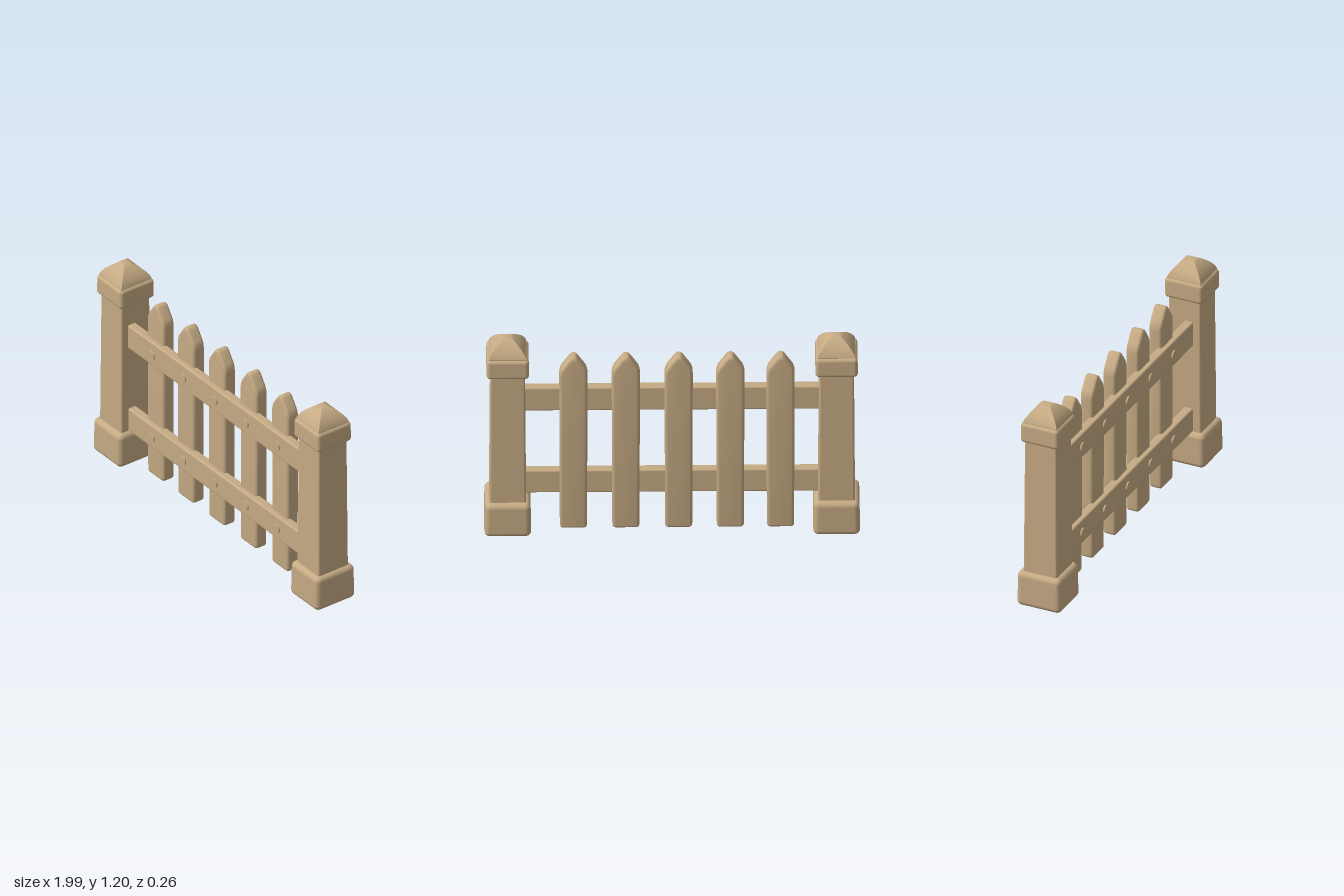
import * as THREE from 'three';
import { toCreasedNormals } from 'three/addons/utils/BufferGeometryUtils.js';
import { RoundedBoxGeometry } from 'three/addons/geometries/RoundedBoxGeometry.js';

const wood = new THREE.MeshStandardMaterial({ color: 0xc6ab84 });
wood.name = 'tan wood';

function part(name, geometry, x = 0, y = 0, z = 0) {
  const mesh = new THREE.Mesh(geometry, wood);
  mesh.name = name;
  mesh.position.set(x, y, z);
  return mesh;
}

// Rounded box standing on its base, its top scaled by taper
function block(w, h, d, r, taper = 1) {
  const g = new RoundedBoxGeometry(w, h, d, 4, r);
  g.translate(0, h / 2, 0);
  const p = g.attributes.position;
  for (let i = 0; i < p.count; i++) {
    const s = 1 + (taper - 1) * (p.getY(i) / h);
    p.setX(i, p.getX(i) * s);
    p.setZ(i, p.getZ(i) * s);
  }
  return g;
}

// Gate post: foot, shaft, collar and a softly domed pyramid
function createPost(name, x) {
  const post = new THREE.Group();
  post.name = name;
  post.position.x = x;
  post.add(part('foot', block(0.25, 0.205, 0.262, 0.03, 0.97)));
  post.add(part('shaft', block(0.196, 0.87, 0.2, 0.012, 0.94), 0, 0.15));
  post.add(part('collar', block(0.226, 0.117, 0.226, 0.02, 0.985), 0, 0.99));
  const profile = [[0.096, 1.095], [0.1, 1.108], [0.094, 1.125], [0.078, 1.149], [0.06, 1.168],
    [0.042, 1.183], [0.025, 1.194], [0.01, 1.199], [0, 1.2]]
    .map(([r, y]) => new THREE.Vector2(r * Math.SQRT2, y));
  const dome = new THREE.LatheGeometry(profile, 4, Math.PI / 4);
  post.add(part('dome', toCreasedNormals(dome, 0.6)));
  return post;
}

// Pointed board with rounded edges
function picketGeometry() {
  const w = 0.075, r = 0.025, depth = 0.075, bevel = 0.016;
  const s = new THREE.Shape();
  s.moveTo(-w + r, 0.004);
  s.lineTo(w - r, 0.004);
  s.quadraticCurveTo(w - 0.003, 0.004, w - 0.003, r);
  s.lineTo(w, 0.96);
  s.quadraticCurveTo(w, 0.998, 0.058, 1.02);
  s.lineTo(0.024, 1.069);
  s.quadraticCurveTo(0, 1.101, -0.024, 1.069);
  s.lineTo(-0.058, 1.02);
  s.quadraticCurveTo(-w, 0.998, -w, 0.96);
  s.lineTo(-w + 0.003, r);
  s.quadraticCurveTo(-w + 0.003, 0.004, -w + r, 0.004);
  const g = new THREE.ExtrudeGeometry(s, {
    depth: depth - 2 * bevel, bevelThickness: bevel, bevelSize: bevel,
    bevelOffset: -bevel, bevelSegments: 4, curveSegments: 6,
  });
  g.translate(0, 0, bevel - 0.05);
  return toCreasedNormals(g, 0.65);
}

export function createModel() {
  const fence = new THREE.Group();
  fence.name = 'picketFence';
  fence.add(createPost('rightPost', -0.875), createPost('leftPost', 0.869));

  const picket = picketGeometry();
  const bolt = new THREE.CylinderGeometry(0.025, 0.027, 0.02, 20).rotateX(Math.PI / 2);

  // Pickets behind the rails
  [-0.578, -0.312, -0.038, 0.242, 0.52].forEach((x) => fence.add(part('picket', picket, x)));

  // Two rails, each with a bolt at every picket
  [[0.2, 0.142, 0.27], [0.72, 0.146, 0.79]].forEach(([y, h, boltY]) => {
    fence.add(part('rail', block(1.58, h, 0.052, 0.01), -0.003, y, 0.026));
    [-0.568, -0.293, -0.016, 0.26, 0.537].forEach((x) => fence.add(part('bolt', bolt, x, boltY, 0.05)));
  });
  return fence;
}
